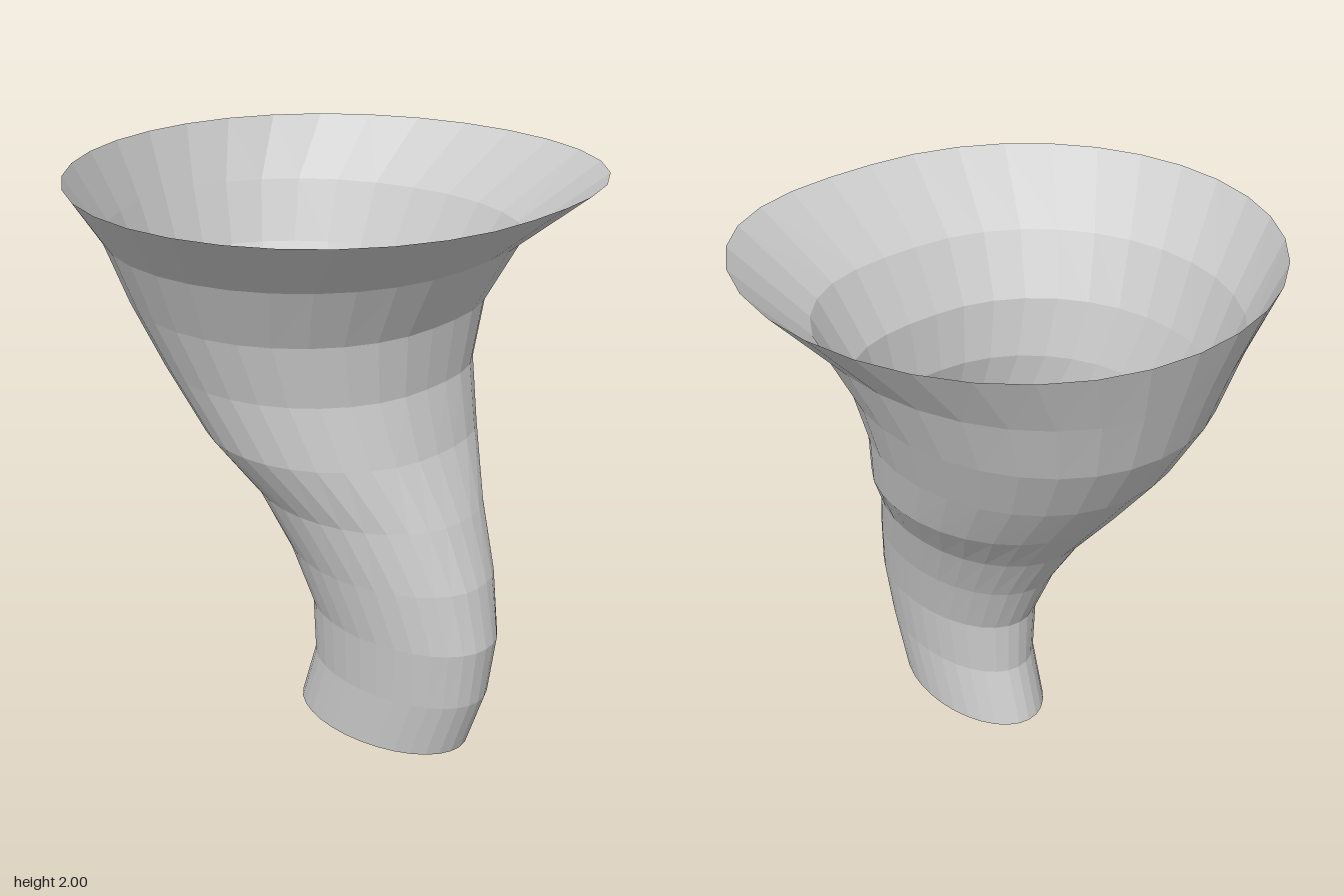
import * as THREE from 'three';

const SIDES = 32;
const HEIGHT = 2;

// Evenly spaced rings from bottom to top: [min x, max x, half depth]
const RINGS = [
  [-0.063, 0.65, 0.213],
  [0.005, 0.725, 0.215],
  [0.0, 0.75, 0.235],
  [-0.1, 0.705, 0.275],
  [-0.24, 0.62, 0.335],
  [-0.42, 0.515, 0.46],
  [-0.595, 0.46, 0.515],
  [-0.725, 0.48, 0.59],
  [-0.795, 0.595, 0.69],
  [-0.865, 0.862, 0.892],
];

// Point on an oval ring whose back half leans towards +x
function ringPoint([minX, maxX, depth], y, i) {
  const t = (2 * i) / SIDES;
  const angle = Math.PI * t;
  const radius = (maxX - minX) / 2;
  const lean = t < 1 ? 0.16 * Math.sin(Math.PI * t ** 1.5) ** 1.7 : 0;
  const x = (minX + maxX) / 2 + radius * (lean * Math.min(1, y / 1.3) - Math.cos(angle));
  return [Math.min(x, maxX), y, -depth * Math.sin(angle)];
}

// Open skin lofted through the rings
function loft() {
  const positions = [];
  const indices = [];
  RINGS.forEach((ring, r) => {
    const y = (HEIGHT * r) / (RINGS.length - 1);
    for (let i = 0; i < SIDES; i++) positions.push(...ringPoint(ring, y, i));
  });
  for (let r = 0; r < RINGS.length - 1; r++) {
    for (let i = 0; i < SIDES; i++) {
      const a = r * SIDES + i;
      const b = r * SIDES + ((i + 1) % SIDES);
      indices.push(a, a + SIDES, b, b, a + SIDES, b + SIDES);
    }
  }
  const geometry = new THREE.BufferGeometry();
  geometry.setAttribute('position', new THREE.Float32BufferAttribute(positions, 3));
  geometry.setIndex(indices);
  geometry.computeVertexNormals();
  return geometry;
}

export function createModel() {
  const group = new THREE.Group();
  group.name = 'curvedFunnel';
  const material = new THREE.MeshStandardMaterial({
    color: 0xcccccc,
    flatShading: true,
    side: THREE.DoubleSide,
  });
  const funnel = new THREE.Mesh(loft(), material);
  funnel.name = 'flaredTube';
  group.add(funnel);
  return group;
}
